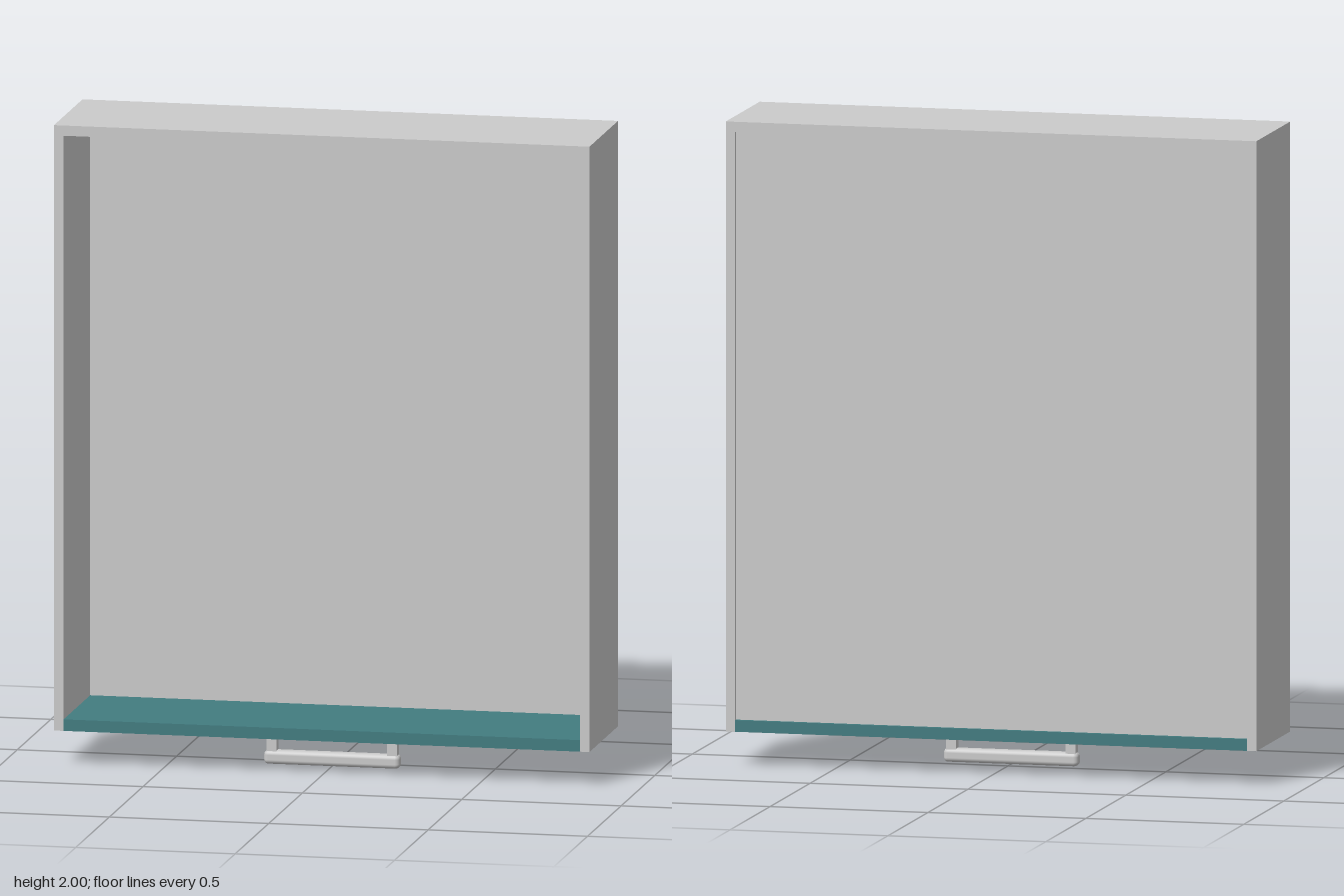
import * as THREE from 'three';
import { RoundedBoxGeometry } from 'three/addons/geometries/RoundedBoxGeometry.js';

const grey = new THREE.MeshStandardMaterial({ color: 0xcccccc });
const teal = new THREE.MeshStandardMaterial({ color: 0x427c80 });

// Adds a mesh filling the box between two corners; radius rounds the edges.
function block(parent, name, [x0, y0, z0], [x1, y1, z1], material = grey, radius = 0) {
  const size = [x1 - x0, y1 - y0, z1 - z0];
  const geometry = radius
    ? new RoundedBoxGeometry(...size, 3, radius)
    : new THREE.BoxGeometry(...size);
  const mesh = new THREE.Mesh(geometry, material);
  mesh.name = name;
  mesh.position.set((x0 + x1) / 2, (y0 + y1) / 2, (z0 + z1) / 2);
  parent.add(mesh);
}

export function createModel() {
  const drawer = new THREE.Group();
  drawer.name = 'drawer';
  const W = 0.84, IN = 0.81, D = 0.212; // outer and inner half width, half depth
  const Y0 = 0.107, Y1 = 2, TOP = 1.968, FACE = 0.143;

  // Side walls and end wall of the drawer box
  block(drawer, 'leftWall', [IN, Y0, -D], [W, Y1, D]);
  block(drawer, 'rightWall', [-W, Y0, -D], [-IN, Y1, D]);
  block(drawer, 'endWall', [-IN, TOP, -D], [IN, Y1, D]);

  // Coloured drawer face, set between the side walls
  block(drawer, 'drawerFace', [-IN, Y0, -D], [IN, FACE, D], teal);

  // Thin drawer bottom, slightly recessed
  block(drawer, 'bottomPanel', [-IN, FACE, -0.2], [IN, TOP, -0.185]);

  // Pull handle: two posts and a rounded bar
  const handle = new THREE.Group();
  handle.name = 'handle';
  for (const [name, x] of [['leftPost', 0.189], ['rightPost', -0.189]]) {
    block(handle, name, [x - 0.016, 0.03, 0.033], [x + 0.016, Y0, 0.065]);
  }
  block(handle, 'handleBar', [-0.213, 0, 0.028], [0.213, 0.043, 0.071], grey, 0.014);
  drawer.add(handle);

  return drawer;
}
